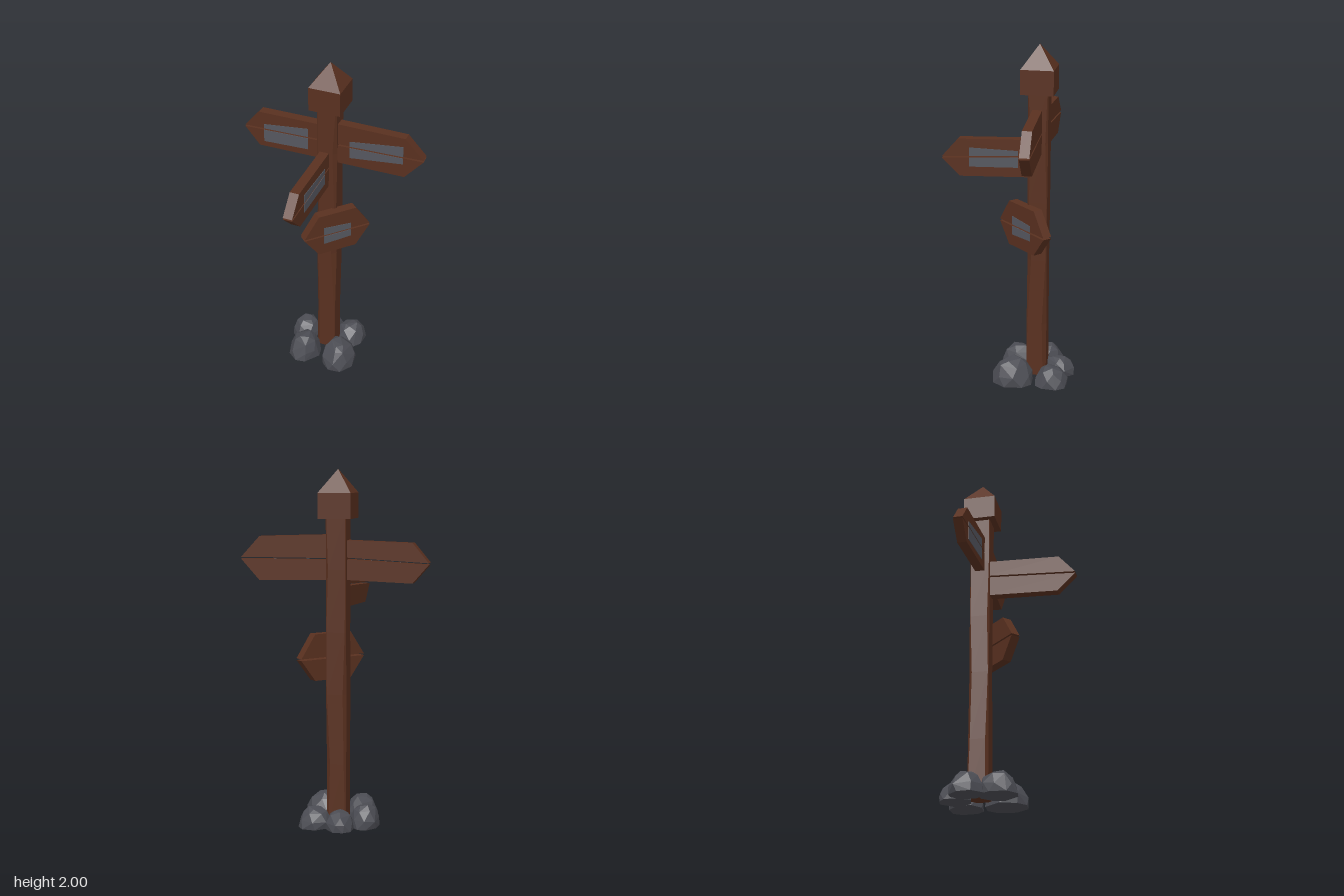
import * as THREE from 'three';
import { ConvexGeometry } from 'three/addons/geometries/ConvexGeometry.js';

const mat = (color) => new THREE.MeshStandardMaterial({ color, flatShading: true, side: THREE.DoubleSide });
const wood = mat(0x59301f);
const slate = mat(0x55575f);
const stone = mat(0x4b4c53);

const POST_X = -0.017, POST_Z = -0.172, POST_HALF = 0.0575;
const THICK = 0.055, GAP = 0.005;

function add(parent, name, geometry, material) {
  const mesh = new THREE.Mesh(geometry, material);
  mesh.name = name;
  parent.add(mesh);
  return mesh;
}

function slab(points, depth, z) {
  const shape = new THREE.Shape(points.map(([x, y]) => new THREE.Vector2(x, y)));
  return new THREE.ExtrudeGeometry(shape, { depth, bevelEnabled: false }).translate(0, 0, z);
}

// Square post whose corners are hewn away by varying amounts up its height
function postGeometry() {
  // y, then the cut at corners front-left, front-right, back-right, back-left
  const levels = [
    [0.02, 0.004, 0.012, 0.004, 0.016],
    [0.35, 0.006, 0.016, 0.012, 0.024],
    [0.75, 0.026, 0.004, 0.018, 0.006],
    [1.1, 0.01, 0.012, 0.006, 0.004],
    [1.45, 0.022, 0.004, 0.004, 0.014],
    [1.75, 0.004, 0.004, 0.004, 0.004],
  ];
  const rings = levels.map(([y, ...cuts]) => cuts.flatMap((c, k) =>
    [[POST_HALF, POST_HALF - c], [POST_HALF - c, POST_HALF]].map(([x, z]) => {
      for (let i = 0; i < k; i++) [x, z] = [-z, x];
      return [x, y, z];
    })));
  const pos = [];
  const tri = (...corners) => corners.forEach((p) => pos.push(...p));
  const n = rings[0].length;
  for (let k = 0; k < n; k++) {
    const m = (k + 1) % n;
    for (let i = 0; i < rings.length - 1; i++) {
      const lo = rings[i], hi = rings[i + 1];
      tri(lo[k], hi[k], lo[m]);
      tri(lo[m], hi[k], hi[m]);
    }
    tri([0, levels[0][0], 0], rings[0][k], rings[0][m]);
  }
  const g = new THREE.BufferGeometry();
  g.setAttribute('position', new THREE.Float32BufferAttribute(pos, 3));
  g.computeVertexNormals();
  return g;
}

// Sign of two planks with an open seam, and a two-piece slate panel on its face
// panel: [x, bottom, top] at each end
function sign(name, { seam, top, bottom, panel }) {
  const group = new THREE.Group();
  group.name = name;
  const [[xa, ya], [xb, yb]] = seam;
  const seamY = (x) => ya + (yb - ya) * (x - xa) / (xb - xa);
  for (const [side, edge, col] of [[1, top, 2], [-1, bottom, 1]]) {
    const label = side > 0 ? 'upper' : 'lower';
    const inner = (x) => [x, seamY(x) + side * GAP];
    add(group, label + 'Plank', slab([inner(xa), ...edge, inner(xb)], THICK, -THICK / 2), wood);
    const [p, q] = panel;
    add(group, label + 'Panel',
      slab([inner(p[0]), [p[0], p[col]], [q[0], q[col]], inner(q[0])], 0.004, THICK / 2 - 0.001), slate);
  }
  return group;
}

// Faceted boulder: hull of jittered, narrowing rings
function rockGeometry(rx, h, rz, seed) {
  const rand = () => (seed = (seed * 16807) % 2147483647) / 2147483647;
  const pts = [];
  for (const [level, radius, count] of [[0, 1, 8], [0.42, 0.96, 7], [0.82, 0.7, 6], [1, 0.38, 4]]) {
    const turn = rand() * 6;
    for (let i = 0; i < count; i++) {
      const a = turn + (i + (rand() - 0.5) * 0.5) / count * Math.PI * 2;
      const r = radius * (0.92 + rand() * 0.14);
      const y = level === 0 ? 0 : h * (level - rand() * 0.1);
      pts.push(new THREE.Vector3(Math.cos(a) * r * rx, y, Math.sin(a) * r * rz));
    }
  }
  return new ConvexGeometry(pts);
}

export function createModel() {
  const model = new THREE.Group();
  model.name = 'signpost';

  add(model, 'post', postGeometry(), wood).position.set(POST_X, 0, POST_Z);

  // Post cap
  const cap = new THREE.Group();
  cap.name = 'cap';
  cap.position.set(POST_X, 0, POST_Z);
  add(cap, 'capBlock', new THREE.BoxGeometry(0.186, 0.14, 0.186).translate(0, 1.8, 0), wood);
  add(cap, 'capPoint', new THREE.ConeGeometry(0.093 * Math.SQRT2, 0.13, 4, 1)
    .rotateY(Math.PI / 4).translate(0, 1.935, 0), wood);
  model.add(cap);

  // Signs
  const rightSign = sign('rightSign', {
    seam: [[-0.04, 1.512], [-0.535, 1.49]],
    top: [[-0.04, 1.612], [-0.445, 1.602]],
    bottom: [[-0.04, 1.393], [-0.445, 1.382]],
    panel: [[-0.14, 1.431, 1.565], [-0.415, 1.416, 1.528]],
  });
  rightSign.position.z = -0.169;
  rightSign.rotation.y = -0.036;

  const leftSign = sign('leftSign', {
    seam: [[0.01, 1.506], [0.537, 1.505]],
    top: [[0.01, 1.641], [0.43, 1.627]],
    bottom: [[0.01, 1.39], [0.43, 1.38]],
    panel: [[0.11, 1.436, 1.542], [0.42, 1.463, 1.574]],
  });
  leftSign.position.z = -0.167;
  leftSign.rotation.y = 0.036;

  const frontSign = sign('frontSign', {
    seam: [[0.14, 1.358], [-0.39, 1.325]],
    top: [[0.14, 1.455], [-0.295, 1.438]],
    bottom: [[0.14, 1.236], [-0.285, 1.218]],
    panel: [[0.055, 1.288, 1.386], [-0.23, 1.277, 1.39]],
  });
  frontSign.position.x = -0.032;
  frontSign.rotation.y = Math.PI / 2 - 0.02;

  const cornerSign = sign('cornerSign', {
    seam: [[-0.208, 0.945], [0.208, 0.945]],
    top: [[-0.118, 1.084], [0.118, 1.084]],
    bottom: [[-0.118, 0.82], [0.118, 0.82]],
    panel: [[-0.085, 0.888, 1.0], [0.085, 0.897, 0.987]],
  });
  cornerSign.position.set(0.045, 0, -0.105);
  cornerSign.rotation.y = Math.PI / 4 + 0.03;

  model.add(rightSign, leftSign, frontSign, cornerSign);

  // Rocks around the foot: x, z, half width, height, half depth
  const rocks = new THREE.Group();
  rocks.name = 'rocks';
  [
    [0.095, -0.045, 0.105, 0.15, 0.12],
    [-0.125, -0.045, 0.095, 0.135, 0.115],
    [-0.18, -0.205, 0.085, 0.13, 0.1],
    [-0.06, -0.295, 0.08, 0.11, 0.095],
    [0.09, -0.275, 0.095, 0.115, 0.1],
  ].forEach(([x, z, rx, h, rz], i) => {
    add(rocks, 'rock' + (i + 1), rockGeometry(rx, h, rz, 4711 + i * 977), stone).position.set(x, 0, z);
  });
  model.add(rocks);

  return model;
}
